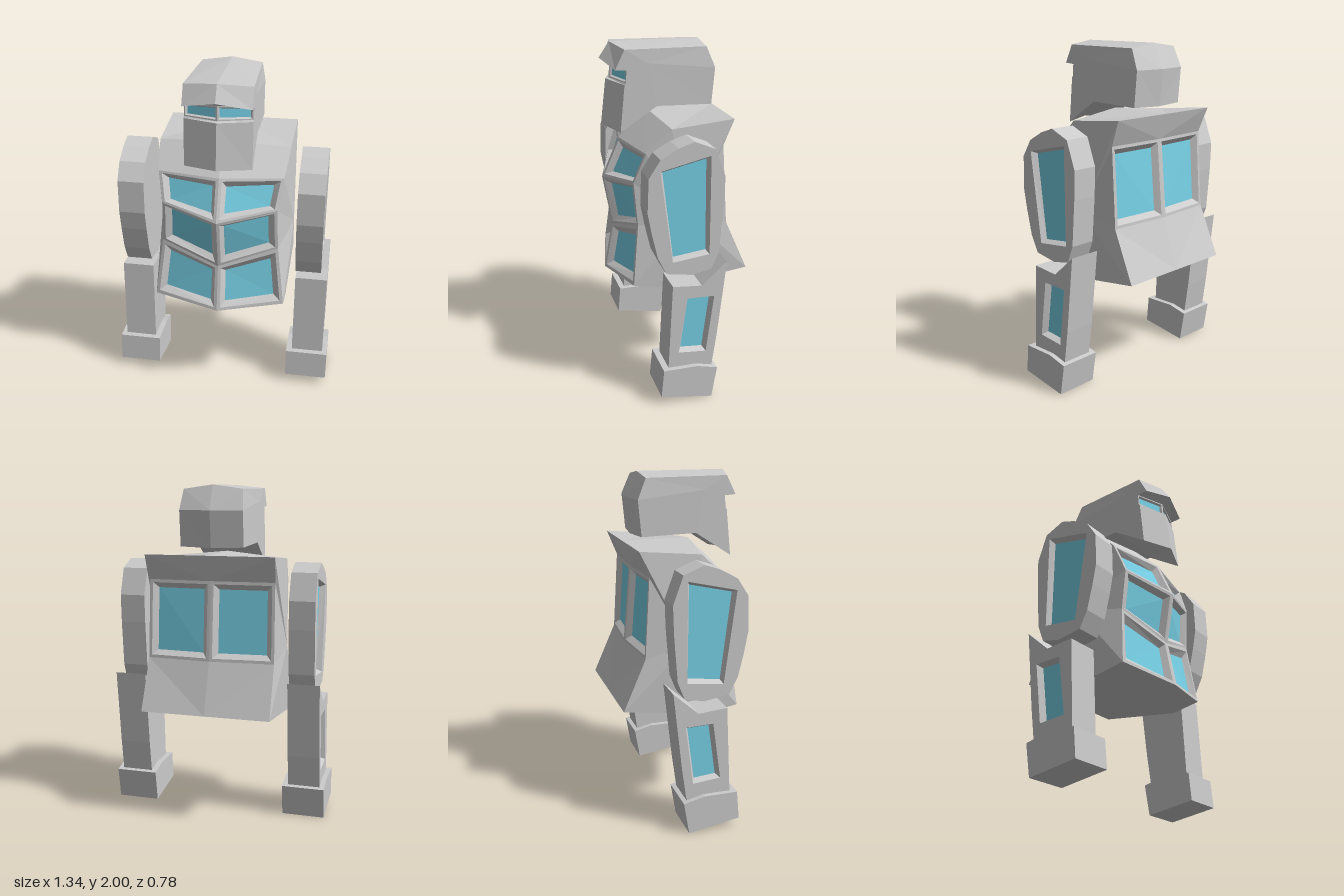
import * as THREE from 'three';

const V = (x, y, z) => new THREE.Vector3(x, y, z);
const grey = new THREE.MeshStandardMaterial({ color: 0xcccccc, flatShading: true });
const glass = new THREE.MeshStandardMaterial({ color: 0x78d2e8, flatShading: true });

// Collects triangles for a shell and its window panes; side = -1 mirrors in x
class Shell {
  constructor(name) {
    this.name = name;
    this.side = 1;
    this.body = [];
    this.panes = [];
  }

  // Convex polygon, corners counter-clockwise from outside
  poly(pts, target = this.body) {
    for (let i = 1; i < pts.length - 1; i++) {
      const tri = [pts[0], pts[i], pts[i + 1]];
      if (this.side < 0) tri.reverse();
      for (const p of tri) target.push(p.x * this.side, p.y, p.z);
    }
  }

  // Four-sided panel: flat frame, sloping reveal, recessed pane
  window(quad, frame, reveal, depth) {
    const [a, b, c, d] = quad;
    const normal = c.clone().sub(a).cross(d.clone().sub(b)).normalize();
    const inset = (m, sink) => {
      const u = m / a.distanceTo(b), v = m / a.distanceTo(d);
      const at = (s, t) => a.clone().lerp(b, s).lerp(d.clone().lerp(c, s), t).addScaledVector(normal, -sink);
      return [at(u, v), at(1 - u, v), at(1 - u, 1 - v), at(u, 1 - v)];
    };
    const rim = inset(frame, 0), pane = inset(frame + reveal, depth);
    for (let i = 0; i < 4; i++) {
      const j = (i + 1) % 4;
      if (frame > 0) this.poly([quad[i], quad[j], rim[j], rim[i]]);
      this.poly([rim[i], rim[j], pane[j], pane[i]]);
    }
    this.poly(pane, this.panes);
  }

  build() {
    const group = new THREE.Group();
    group.name = this.name;
    const add = (data, material, name) => {
      if (!data.length) return;
      const geo = new THREE.BufferGeometry();
      geo.setAttribute('position', new THREE.Float32BufferAttribute(data, 3));
      geo.computeVertexNormals();
      const mesh = new THREE.Mesh(geo, material);
      mesh.name = name;
      group.add(mesh);
    };
    add(this.body, grey, this.name + 'Shell');
    add(this.panes, glass, this.name + 'Windows');
    return group;
  }
}

// Symmetric solid from a closed profile running down the front and up the back.
// Row: [centre y, centre z, edge x, edge y, edge z, window to next row?]
function ridgedSolid(name, rows, hub, [frame, reveal, depth]) {
  const shell = new Shell(name);
  const centre = rows.map(r => V(0, r[0], r[1]));
  const edge = rows.map(r => V(r[2], r[3], r[4]));
  for (shell.side of [1, -1]) {
    rows.forEach((r, i) => {
      const j = (i + 1) % rows.length;
      const quad = [centre[i], centre[j], edge[j], edge[i]];
      if (r[5]) shell.window(quad, frame, reveal, depth);
      else shell.poly(quad);
      shell.poly([hub, edge[i], edge[j]]);
    });
  }
  return shell.build();
}

// Slab with a [z, y] outline between two x values, optional window on the outer face
function limb(name, side, x0, x1, outline, hole) {
  const shell = new Shell(name);
  shell.side = side;
  const flat = list => list.map(([z, y]) => new THREE.Vector2(-z, y));
  const at = (p, x) => V(x, p.y, -p.x);
  const rim = flat(outline);
  const cut = hole ? flat(hole) : [];
  const cutReversed = cut.slice().reverse();
  const all = [...rim, ...cutReversed];
  for (const f of THREE.ShapeUtils.triangulateShape(rim.slice(), hole ? [cutReversed.slice()] : []))
    shell.poly(f.map(i => at(all[i], x1)));
  for (const f of THREE.ShapeUtils.triangulateShape(rim.slice(), []))
    shell.poly(f.map(i => at(rim[i], x0)).reverse());
  rim.forEach((p, i) => {
    const q = rim[(i + 1) % rim.length];
    shell.poly([at(p, x1), at(p, x0), at(q, x0), at(q, x1)]);
  });
  if (hole) shell.window(cut.map(p => at(p, x1)), 0, 0.018, 0.035);
  return shell.build();
}

export function createModel() {
  const model = new THREE.Group();
  model.name = 'robot';

  // Torso: shoulder slope, three window rows, underside, back panel, collar
  model.add(ridgedSolid('torso', [
    [1.6, 0.115, 0.385, 1.565, 0.07],
    [1.435, 0.285, 0.365, 1.43, 0.215, true],
    [1.2, 0.39, 0.335, 1.255, 0.28, true],
    [0.89, 0.335, 0.345, 1.0, 0.26, true],
    [0.61, 0.39, 0.39, 0.645, 0.3],
    [0.568, 0.14, 0.39, 0.61, 0.12],
    [0.675, -0.395, 0.39, 0.675, -0.395],
    [0.98, -0.29, 0.385, 0.98, -0.262, true],
    [1.45, -0.25, 0.38, 1.45, -0.235],
    [1.6, -0.295, 0.39, 1.6, -0.295],
  ], V(0.412, 1.05, -0.02), [0.018, 0.03, 0.03]));

  // Head: brow, eye windows, face mask, open-angled jaw, rounded back
  model.add(ridgedSolid('head', [
    [2.0, 0.33, 0.193, 1.98, 0.285],
    [1.91, 0.39, 0.193, 1.87, 0.34],
    [1.88, 0.33, 0.193, 1.865, 0.275, true],
    [1.795, 0.335, 0.193, 1.795, 0.28],
    [1.79, 0.355, 0.193, 1.785, 0.288],
    [1.525, 0.387, 0.193, 1.515, 0.315],
    [1.655, 0.105, 0.193, 1.655, 0.1],
    [1.64, -0.245, 0.19, 1.645, -0.225],
    [1.855, -0.27, 0.19, 1.855, -0.245],
    [2.0, -0.2, 0.178, 1.975, -0.195],
  ], V(0.193, 1.9, 0.15), [0.008, 0.008, 0.012]));

  for (const [side, word] of [[1, 'left'], [-1, 'right']]) {
    // Upper arm
    model.add(limb(word + 'UpperArm', side, 0.447, 0.602, [
      [0.01, 1.55], [0.1, 1.52], [0.2, 1.465], [0.265, 1.365], [0.272, 1.17], [0.25, 1.05], [0.215, 0.9],
      [0.165, 0.8], [0.015, 0.775], [-0.1, 0.8], [-0.14, 0.9], [-0.162, 1.17], [-0.168, 1.34], [-0.11, 1.5],
    ], [[0.2, 1.4], [0.13, 0.865], [-0.085, 0.89], [-0.085, 1.465]]));
    // Forearm
    model.add(limb(word + 'Forearm', side, 0.447, 0.64, [
      [0.14, 0.735], [0.165, 0.215], [0, 0.2], [-0.095, 0.18], [-0.125, 0.39], [-0.177, 0.85], [-0.03, 0.72],
    ], [[0.058, 0.65], [0.105, 0.31], [-0.06, 0.295], [-0.105, 0.645]]));
    // Hand
    model.add(limb(word + 'Hand', side, 0.413, 0.67, [
      [0.2, 0.22], [0.215, 0.05], [-0.09, 0], [-0.122, 0.19], [0, 0.22],
    ]));
  }
  return model;
}
